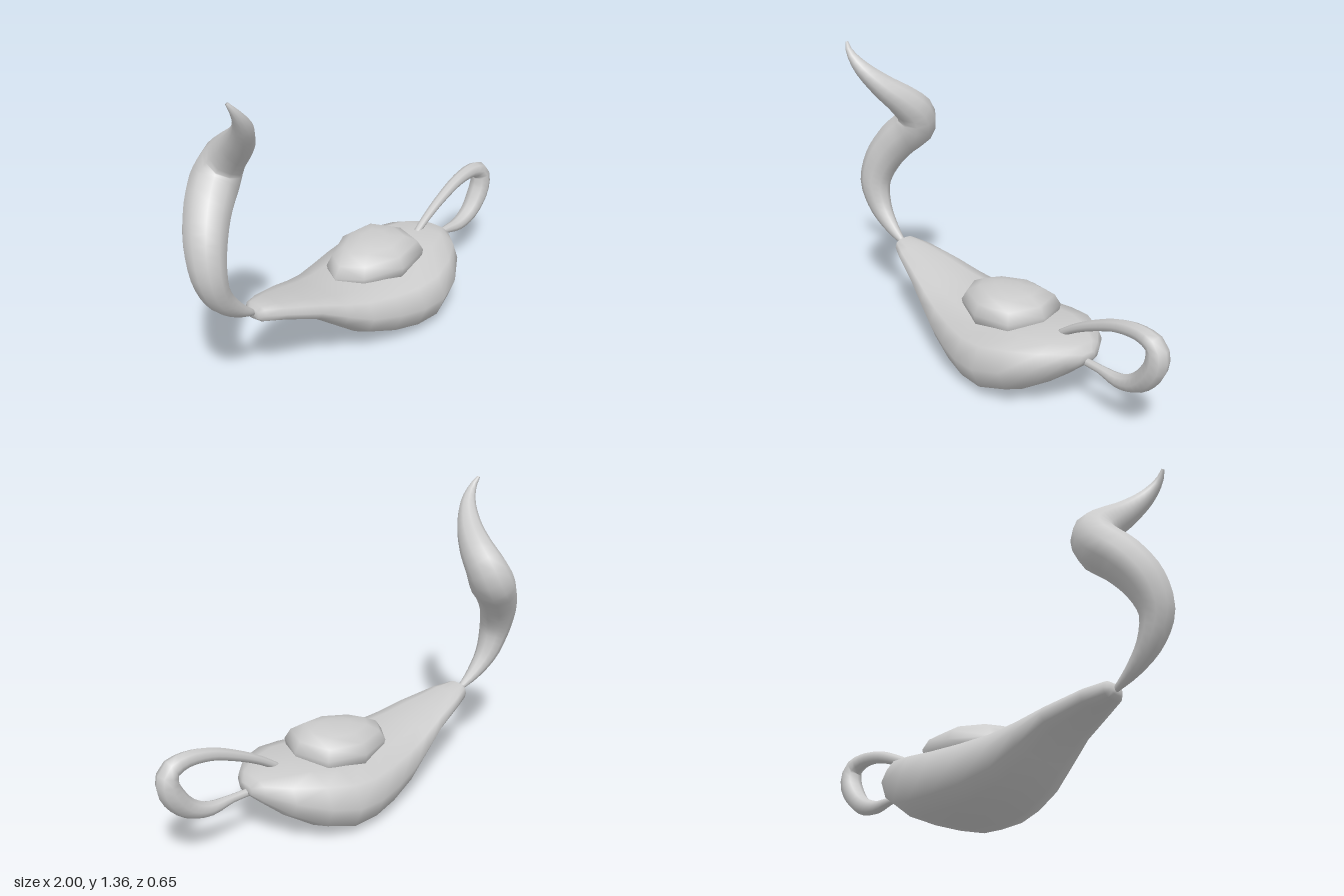
import * as THREE from 'three';

const material = new THREE.MeshStandardMaterial({ color: 0xcccccc });

// Skin a list of rings (equal point counts, counter-clockwise seen from the end) and cap both ends.
function loft(name, rings) {
  const n = rings[0].length;
  const last = rings.length - 1;
  const points = rings.flat();
  const index = [];
  for (let i = 0; i < last; i++) {
    for (let j = 0; j < n; j++) {
      const k = (j + 1) % n;
      const a = i * n + j, b = i * n + k, c = a + n, d = b + n;
      index.push(a, b, c, b, d, c);
    }
  }
  for (const end of [0, last]) {
    const centre = new THREE.Vector3();
    rings[end].forEach((p) => centre.addScaledVector(p, 1 / n));
    const m = points.push(centre) - 1;
    for (let j = 0; j < n; j++) {
      const a = end * n + j, b = end * n + ((j + 1) % n);
      index.push(m, ...(end ? [a, b] : [b, a]));
    }
  }
  const geometry = new THREE.BufferGeometry().setFromPoints(points);
  geometry.setIndex(index);
  geometry.computeVertexNormals();
  const mesh = new THREE.Mesh(geometry, material);
  mesh.name = name;
  return mesh;
}

// Sweep a round section along [x, y, z, radius] stations.
function taperedTube(name, stations, steps, sides) {
  const curve = new THREE.CatmullRomCurve3(stations.map(([x, y, z]) => new THREE.Vector3(x, y, z)));
  const { normals, binormals } = curve.computeFrenetFrames(steps);
  const rings = [];
  for (let i = 0; i <= steps; i++) {
    const u = i / steps;
    const s = curve.getUtoTmapping(u) * (stations.length - 1);
    const k = Math.min(Math.floor(s), stations.length - 2);
    const r = THREE.MathUtils.lerp(stations[k][3], stations[k + 1][3], s - k);
    const centre = curve.getPointAt(u);
    rings.push(Array.from({ length: sides }, (_, j) => {
      const a = (j / sides) * Math.PI * 2;
      return centre.clone()
        .addScaledVector(normals[i], r * Math.cos(a))
        .addScaledVector(binormals[i], r * Math.sin(a));
    }));
  }
  return loft(name, rings);
}

// Pear-shaped vessel drawn out into the spout: x, top, bottom, half width.
function makeBody() {
  const stations = [
    [-0.705, 0.385, 0.34, 0.035], [-0.685, 0.4, 0.325, 0.06], [-0.6, 0.385, 0.305, 0.1],
    [-0.44, 0.345, 0.25, 0.155], [-0.32, 0.315, 0.165, 0.195], [-0.2, 0.295, 0.08, 0.235],
    [-0.06, 0.288, 0.03, 0.28], [0.07, 0.287, 0.008, 0.315], [0.2, 0.3, 0.005, 0.326],
    [0.33, 0.318, 0.04, 0.29], [0.46, 0.315, 0.122, 0.21], [0.545, 0.3, 0.195, 0.105],
    [0.575, 0.27, 0.225, 0.045],
  ];
  // Slightly squared twelve-sided section: [up, across].
  const quarter = [[1, 0], [0.95, 0.52], [0.67, 0.87]];
  const half = [...quarter, [0, 1], ...quarter.slice(1).reverse().map(([u, w]) => [-u, w])];
  const section = [...half, ...half.map(([u, w]) => [-u, -w])];
  return loft('body', stations.map(([x, top, bottom, width]) => section.map(([u, w]) =>
    new THREE.Vector3(x, (top + bottom) / 2 + u * (top - bottom) / 2, w * width))));
}

// Low eight-sided dome, tilted up towards the handle.
function makeLid() {
  const outline = [[0.06, 0.19], [0.25, 0.16], [0.31, 0], [0.25, -0.16], [0.06, -0.19], [-0.12, -0.11], [-0.19, 0], [-0.12, 0.11]];
  const cx = 0.08;
  const layers = [[0.26, 0.95, 0], [0.318, 1, 0.06], [0.365, 0.88, 0.06], [0.398, 0.62, 0.06], [0.41, 0.3, 0.05]];
  return loft('lid', layers.map(([y, s, tilt]) => outline.map(([x, z]) => {
    const dx = (x - cx) * s;
    return new THREE.Vector3(cx + dx, y + dx * tilt, z * s);
  })));
}

export function createModel() {
  const group = new THREE.Group();
  group.name = 'oilLamp';

  const handle = taperedTube('handle', [
    [0.4, 0.295, 0, 0.016], [0.5, 0.36, 0, 0.02], [0.62, 0.42, 0, 0.025], [0.75, 0.467, 0, 0.03],
    [0.87, 0.477, 0, 0.036], [0.94, 0.45, 0, 0.045], [0.95, 0.385, 0, 0.052], [0.92, 0.32, 0, 0.052],
    [0.855, 0.252, 0, 0.044], [0.76, 0.218, 0, 0.033], [0.65, 0.225, 0, 0.019], [0.54, 0.228, 0, 0.017],
  ], 32, 8);

  // Curl of smoke rising from the spout
  const smoke = taperedTube('smoke', [
    [-0.695, 0.362, 0, 0.012], [-0.79, 0.42, 0, 0.033], [-0.88, 0.51, 0, 0.055], [-0.923, 0.63, -0.005, 0.075],
    [-0.9, 0.75, -0.04, 0.09], [-0.83, 0.86, -0.09, 0.1], [-0.75, 0.94, -0.128, 0.105], [-0.72, 1.01, -0.115, 0.094],
    [-0.725, 1.08, -0.05, 0.08], [-0.765, 1.16, 0.04, 0.06], [-0.825, 1.25, 0.115, 0.038], [-0.88, 1.32, 0.14, 0.018],
    [-0.91, 1.362, 0.133, 0.007],
  ], 36, 10);

  group.add(makeBody(), makeLid(), handle, smoke);
  return group;
}
